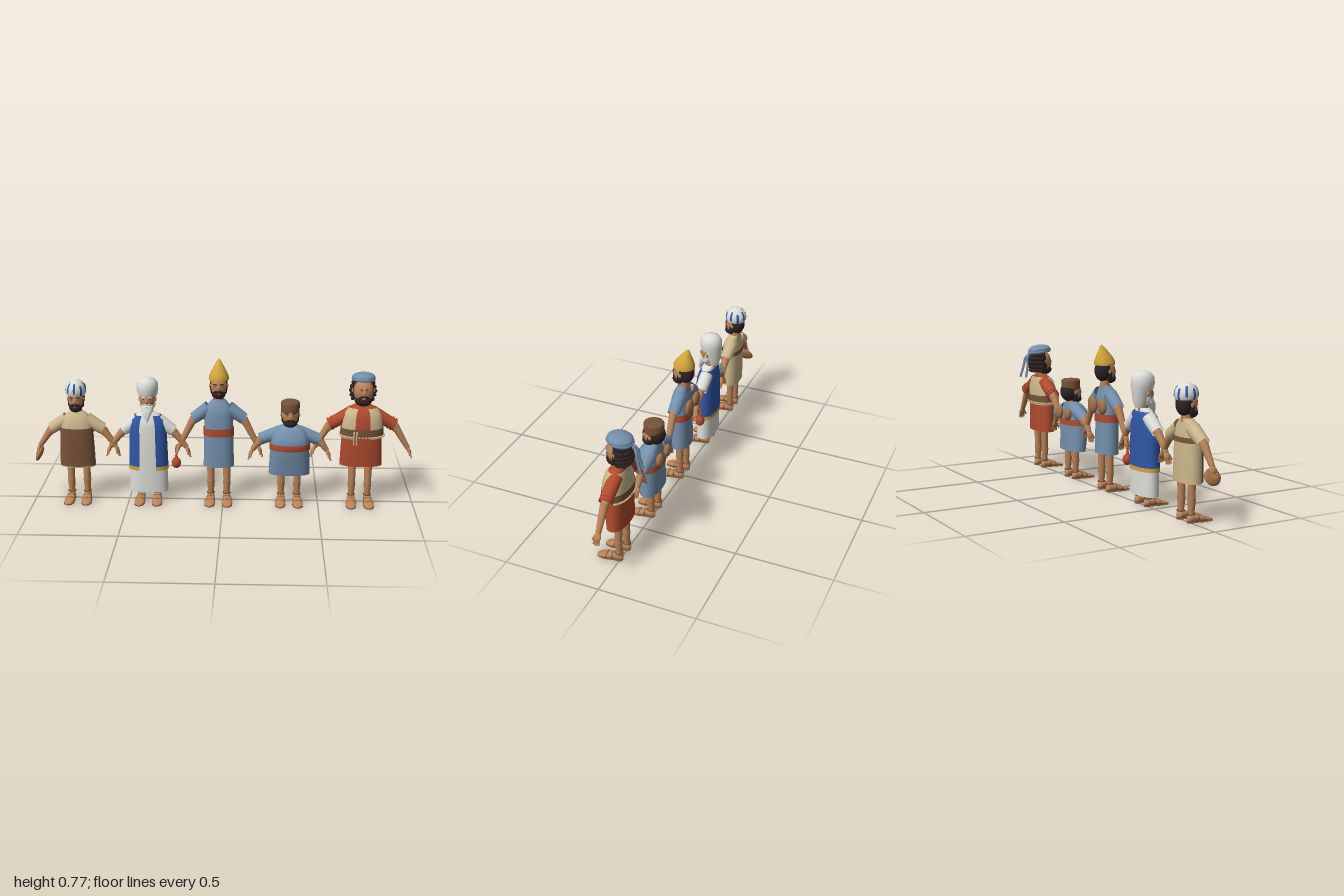
import * as THREE from 'three';
import { mergeVertices } from 'three/addons/utils/BufferGeometryUtils.js';

const PI = Math.PI;
const mat = (name, color) => new THREE.MeshStandardMaterial({ name, color, side: THREE.DoubleSide });
const M = {
  skin: mat('skin', 0xb98358), cream: mat('cream cloth', 0xcbb78c), brown: mat('brown leather', 0x775338),
  white: mat('white cloth', 0xdcdcd8), royal: mat('royal blue', 0x2f57a6), steel: mat('steel blue', 0x7390ac),
  red: mat('brick red', 0xb04b2f), gold: mat('gold', 0xd1a43d), hair: mat('dark hair', 0x2d2323),
  wood: mat('tan wood', 0xa0704a),
};

const V = (x, y, z = 0) => new THREE.Vector3(x, y, z);

function add(parent, name, geo, material, pos, scale) {
  const m = new THREE.Mesh(geo, material);
  m.name = name;
  if (pos) m.position.copy(pos);
  if (scale) m.scale.set(...scale);
  parent.add(m);
  return m;
}
// Ellipsoid, with fewer sides when it is tiny
function ball(parent, name, material, pos, scale) {
  const n = Math.max(...scale) < 0.014 ? 10 : 22;
  return add(parent, name, new THREE.SphereGeometry(1, n, n * 0.7), material, pos, scale);
}

// Surface through oval sections [y, rx, rz, cz], listed from bottom to top
const bend = (v, power = 0.88) => Math.sign(v) * Math.abs(v) ** power;
function loft(sections, a0 = 0, a1 = 2 * PI, power = 0.88, n = 32) {
  const pos = [], idx = [];
  for (const [y, rx, rz, cz = 0] of sections)
    for (let j = 0; j <= n; j++) {
      const a = a0 + (a1 - a0) * j / n;
      pos.push(rx * bend(Math.sin(a), power), y, cz + rz * bend(Math.cos(a), power));
    }
  for (let i = 0; i < sections.length - 1; i++)
    for (let j = 0; j < n; j++) {
      const a = i * (n + 1) + j, b = a + n + 1;
      idx.push(a, a + 1, b + 1, a, b + 1, b);
    }
  let g = new THREE.BufferGeometry();
  g.setAttribute('position', new THREE.Float32BufferAttribute(pos, 3));
  g.setIndex(idx);
  g = mergeVertices(g, 1e-5);
  g.computeVertexNormals();
  return g;
}

// Section at a height, and a thin layer worn over a band of a loft
function at(sections, y) {
  let i = 0;
  while (i < sections.length - 2 && sections[i + 1][0] < y) i++;
  const t = (y - sections[i][0]) / (sections[i + 1][0] - sections[i][0]);
  return sections[i].map((v, k) => v + (sections[i + 1][k] - v) * t);
}
function layer(sections, y0, y1, off, a0, a1) {
  const inner = sections.filter(s => s[0] > y0 + 0.001 && s[0] < y1 - 0.001);
  return loft([at(sections, y0), ...inner, at(sections, y1)]
    .map(([y, rx, rz, cz]) => [y, rx + off, rz + off, cz]), a0, a1);
}

function limb(parent, name, a, b, ra, rb, material, open = false) {
  const d = b.clone().sub(a);
  const m = add(parent, name, new THREE.CylinderGeometry(rb, ra, d.length(), 16, 1, open), material, a.clone().add(b).multiplyScalar(0.5));
  m.quaternion.setFromUnitVectors(V(0, 1, 0), d.normalize());
  return m;
}
const tube = (p, name, pts, r, material) =>
  add(p, name, new THREE.TubeGeometry(new THREE.CatmullRomCurve3(pts), 14, r, 8), material);
const ring = (r, t, n = 16) => new THREE.TorusGeometry(r, t, 6, n).rotateX(PI / 2);

function foot(parent, s) {
  const g = new THREE.Group();
  g.name = 'foot';
  g.position.x = s * 0.042;
  g.rotation.y = s * 0.05;
  const shape = [[-0.016, 0.004, 0.004, 0.012], [-0.01, 0.017, 0.016, 0.019], [0.005, 0.02, 0.021, 0.024],
    [0.03, 0.021, 0.017, 0.021], [0.07, 0.027, 0.011, 0.015], [0.1, 0.025, 0.007, 0.011], [0.115, 0.015, 0.004, 0.008], [0.119, 0.002, 0.001, 0.006]];
  add(g, 'footTop', loft(shape.map(([z, rx, ry, cy]) => [z, rx, ry, -cy]), 0, 2 * PI, 0.88, 20).rotateX(PI / 2), M.skin);
  add(g, 'sole', loft(shape.map(([z, rx]) => [z, rx + 0.001, 0.003, -0.003]), 0, 2 * PI, 0.88, 20).rotateX(PI / 2), M.brown);
  for (const z of [0.035, 0.065]) {
    const [, rx, ry, cy] = at(shape, z);
    add(g, 'sandalStrap', new THREE.TorusGeometry(1, 0.1, 6, 16), M.brown, V(0, cy, z), [rx, ry, 0.035]);
  }
  add(g, 'ankleStrap', ring(0.019, 0.003), M.brown, V(0, 0.042, 0.004));
  parent.add(g);
}

function arm(parent, s, f) {
  const sh = V(s * 0.05, f.top - 0.045, 0.003), cuff = V(s * f.cuff[0], f.cuff[1], 0.003), wrist = V(s * f.wrist[0], f.wrist[1], 0.005);
  limb(parent, 'sleeve', sh, cuff, 0.036, 0.031, f.cloth === M.red ? M.red : f.cloth, true);
  const d = wrist.clone().sub(cuff).normalize();
  limb(parent, 'arm', sh.clone().lerp(cuff, 0.6), cuff.clone().addScaledVector(d, 0.03), 0.022, 0.02, M.skin);
  limb(parent, 'forearm', cuff, wrist, 0.021, 0.013, M.skin);
  // Hand hangs from the wrist along -y
  const hand = new THREE.Group();
  hand.name = 'hand';
  hand.position.copy(wrist);
  hand.quaternion.setFromUnitVectors(V(0, -1, 0), V(s * 0.42, -0.9, 0.05).normalize());
  ball(hand, 'palm', M.skin, V(0, -0.016, 0), [0.01, 0.022, 0.018]);
  for (let i = 0; i < 4; i++)
    limb(hand, 'finger', V(0, -0.028, -0.012 + i * 0.008), V(-s * 0.003, -0.054 - (i % 3 ? 0.004 : 0), -0.013 + i * 0.009), 0.005, 0.0035, M.skin);
  limb(hand, 'thumb', V(0, -0.01, 0.012), V(-s * 0.006, -0.036, 0.025), 0.006, 0.004, M.skin);
  parent.add(hand);
}

function head(g, f) {
  const [y, rx, ry] = f.head, rz = rx * 1.12, hc = f.hair;
  limb(g, 'neck', V(0, f.top - 0.03), V(0, y), 0.026, 0.023, M.skin);
  ball(g, 'face', M.skin, V(0, y, 0.008), [rx, ry, rz]);
  ball(g, 'hairBack', hc, V(0, y + 0.004, -0.01), [rx * 1.09, ry * 1.05, rz * 0.98]);
  ball(g, 'nose', M.skin, V(0, y - 0.004, rz + 0.007), [0.008, 0.013, 0.011]);
  for (const s of [-1, 1]) {
    ball(g, 'eye', M.hair, V(s * 0.016, y + 0.008, rz * 0.9 + 0.007), [0.005, 0.003, 0.003]);
    tube(g, 'eyebrow', [V(s * 0.007, y + 0.016, rz * 0.94 + 0.008), V(s * 0.016, y + 0.019, rz * 0.87 + 0.008), V(s * 0.027, y + 0.015, rz * 0.73 + 0.008)], 0.0028, hc);
    tube(g, 'moustache', [V(0, y - 0.017, rz + 0.007), V(s * 0.012, y - 0.02, rz + 0.004), V(s * 0.024, y - 0.03, rz * 0.82)], 0.005, hc);
    ball(g, 'sideburn', hc, V(s * rx * 0.86, y - 0.016, 0.008), [0.008, ry * 0.5, 0.014]);
    ball(g, 'ear', M.skin, V(s * rx * 1.04, y, 0.004), [0.006, 0.012, 0.009]);
  }
  ball(g, 'beard', hc, V(0, y - ry * 0.72, 0.024), [rx * 0.85, ry * 0.46, rz * 0.78]);
  ball(g, 'mouth', M.skin, V(0, y - 0.031, rz * 0.82 + 0.016), [0.009, 0.003, 0.004]);
}

function person(root, f) {
  const g = new THREE.Group();
  g.name = f.name;
  g.position.x = f.x;
  root.add(g);
  add(g, 'tunic', loft(f.body), f.cloth);
  const hem = f.body[0];
  for (const s of [-1, 1]) {
    limb(g, 'leg', V(s * 0.042, 0.1, 0.006), V(s * 0.042, hem[0] + 0.07, 0.004), 0.018, 0.022, M.skin);
    limb(g, 'shin', V(s * 0.042, 0.035, 0.004), V(s * 0.042, 0.112, 0.006), 0.014, 0.021, M.skin);
    foot(g, s);
    arm(g, s, f);
  }
  head(g, f);
  return g;
}

// Tunic profile from hem, top, half width, belly depth and belly centre
const body = (hem, top, w, d, cz) => [
  [hem, w, 0.05, 0.01], [hem + (top - hem) * 0.3, w * 0.97, (0.05 + d) / 2, (0.01 + cz) / 2], [hem + (top - hem) * 0.6, w * 0.93, d, cz],
  [top - 0.075, w * 0.9, d * 0.95, cz], [top - 0.04, w * 0.8, d * 0.8, cz * 0.8], [top - 0.015, w * 0.6, d * 0.6, cz * 0.5], [top, 0.03, 0.026, 0.002]];

export function createModel() {
  const root = new THREE.Group();
  root.name = 'fiveFigures';

  // Baker: cream tunic, apron, striped turban, flat loaf
  let b = body(0.19, 0.49, 0.092, 0.05, 0.012);
  let g = person(root, { name: 'baker', x: -0.766, top: 0.49, body: b, cloth: M.cream, hair: M.hair, cuff: [0.135, 0.39], wrist: [0.2, 0.295], head: [0.552, 0.04, 0.055] });
  add(g, 'apron', layer(b, 0.197, 0.4, 0.004, -1.3, 1.3), M.brown);
  add(g, 'belt', layer(b, 0.38, 0.405, 0.005), M.brown);
  const turban = new THREE.Group();
  turban.name = 'turban';
  turban.position.set(0, 0.6, -0.002);
  g.add(turban);
  add(turban, 'wrap', new THREE.SphereGeometry(1, 32, 20, 0, 2 * PI, 0, 2), M.white, null, [0.053, 0.056, 0.058]);
  for (let i = 0; i < 9; i++)
    add(turban, 'stripe', new THREE.SphereGeometry(1, 4, 16, PI / 2 - 0.11 + i * 2 * PI / 9, 0.22, 0.75 + (i % 2) * 0.25, 0.95), M.royal, null, [0.0545, 0.0575, 0.0595]);
  const loaf = ball(g, 'loaf', M.wood, V(-0.205, 0.248, 0.004), [0.014, 0.042, 0.044]);
  loaf.rotation.z = -0.45;

  // Elder: white robe, open blue coat with gold trim, long beard
  b = body(0.055, 0.49, 0.102, 0.05, 0.012);
  g = person(root, { name: 'elder', x: -0.393, top: 0.49, body: b, cloth: M.white, hair: M.white, cuff: [0.13, 0.385], wrist: [0.2, 0.295], head: [0.557, 0.04, 0.056] });
  add(g, 'coat', layer(b, 0.2, 0.473, 0.005, 0.38, 2 * PI - 0.38), M.royal);
  add(g, 'coatTrim', layer(b, 0.18, 0.2, 0.006, 0.38, 2 * PI - 0.38), M.gold);
  add(g, 'longBeard', loft([[0.445, 0.003, 0.003, 0.06], [0.475, 0.016, 0.012, 0.055], [0.51, 0.032, 0.025, 0.038], [0.535, 0.034, 0.022, 0.026]]), M.white);
  add(g, 'headWrap', loft([[0.58, 0.05, 0.054, -0.004], [0.61, 0.056, 0.06, -0.002], [0.64, 0.055, 0.057, -0.002], [0.66, 0.042, 0.044, -0.002], [0.67, 0.02, 0.02, -0.002], [0.672, 0.001, 0.001, -0.002]], 0, 2 * PI, 1), M.white);
  add(g, 'headWrapBack', loft([[0.49, 0.024, 0.03, -0.012], [0.53, 0.038, 0.044, -0.012], [0.6, 0.053, 0.055, -0.008]], 1.5, 2 * PI - 1.5, 1), M.white);
  ball(g, 'gourd', M.red, V(0.145, 0.205, 0), [0.025, 0.029, 0.025]);
  limb(g, 'gourdNeck', V(0.145, 0.225, 0), V(0.145, 0.25, 0), 0.011, 0.005, M.red);
  tube(g, 'gourdCord', [V(0.145, 0.245, 0), V(0.142, 0.275, 0.002), V(0.15, 0.305, 0), V(0.19, 0.3, 0)], 0.003, M.red);

  // Two belted travellers, each with round flasks on the back
  const flasks = (parent, y, r) => {
    ball(parent, 'flask', M.wood, V(0.042, y, -0.05), [r * 0.9, r, 0.018]);
    ball(parent, 'flask', M.wood, V(-0.052, y, -0.048), [r * 0.8, r * 0.9, 0.018]);
  };
  b = body(0.2, 0.56, 0.08, 0.05, 0.012);
  g = person(root, { name: 'tallTraveller', x: -0.023, top: 0.56, body: b, cloth: M.steel, hair: M.hair, cuff: [0.13, 0.455], wrist: [0.208, 0.3], head: [0.632, 0.042, 0.055] });
  add(g, 'belt', layer(b, 0.37, 0.412, 0.005), M.red);
  add(g, 'pointedHat', loft([[0.665, 0.052, 0.056, -0.002], [0.682, 0.051, 0.056, -0.002], [0.705, 0.041, 0.046, -0.005], [0.735, 0.024, 0.028, -0.012], [0.762, 0.009, 0.01, -0.02], [0.771, 0.001, 0.001, -0.022]], 0, 2 * PI, 1), M.gold);
  flasks(g, 0.455, 0.045);

  b = body(0.16, 0.43, 0.108, 0.066, 0.025);
  g = person(root, { name: 'stoutTraveller', x: 0.348, top: 0.43, body: b, cloth: M.steel, hair: M.hair, cuff: [0.155, 0.345], wrist: [0.195, 0.285], head: [0.48, 0.044, 0.052] });
  add(g, 'belt', layer(b, 0.303, 0.336, 0.005), M.red);
  add(g, 'roundCap', loft([[0.497, 0.047, 0.052], [0.54, 0.05, 0.053], [0.549, 0.047, 0.05], [0.553, 0.04, 0.042], [0.553, 0.001, 0.001]], 0, 2 * PI, 1), M.brown);
  flasks(g, 0.365, 0.036);

  // Warrior: red tunic, cream vest, rope belt, blue cap with trailing ribbons
  b = body(0.215, 0.545, 0.11, 0.058, 0.016);
  g = person(root, { name: 'warrior', x: 0.72, top: 0.545, body: b, cloth: M.red, hair: M.hair, cuff: [0.168, 0.43], wrist: [0.243, 0.305], head: [0.615, 0.052, 0.066] });
  add(g, 'vest', layer(b, 0.37, 0.528, 0.005, 0.32, 2 * PI - 0.32), M.cream);
  add(g, 'belt', layer(b, 0.385, 0.424, 0.009), M.brown);
  const waist = at(b, 0.405);
  for (let i = 0; i < 56; i++) {
    const a = i / 56 * 2 * PI;
    ball(g, 'ropeBead', M.cream, V((waist[1] + 0.011) * bend(Math.sin(a)), 0.382, waist[3] + (waist[2] + 0.011) * bend(Math.cos(a))), [0.006, 0.005, 0.006]);
  }
  for (const x of [-0.045, -0.03])
    tube(g, 'ropeEnd', [V(x, 0.412, 0.08), V(x, 0.408, 0.093), V(x - 0.003, 0.38, 0.094), V(x, 0.346, 0.093)], 0.004, M.cream);
  for (const s of [-1, 1])
    for (const t of [0.82, 0.96]) {
      const band = add(g, 'sleeveBand', ring(0.033, 0.003, 24), M.red, V(s * 0.05, 0.5).lerp(V(s * 0.168, 0.43), t));
      band.quaternion.setFromUnitVectors(V(0, 1, 0), V(s * 0.118, -0.07).normalize());
    }
  // Curly hair around the sides and back
  ball(g, 'hairMass', M.hair, V(0, 0.61, -0.014), [0.064, 0.058, 0.05]);
  for (let row = 0; row < 5; row++)
    for (let i = 0; i < 13; i++) {
      const a = 1.45 + (i + (row % 2) / 2) / 13 * (2 * PI - 2.9), r = 1 - 0.06 * Math.abs(row - 2) ** 1.6;
      ball(g, 'curl', M.hair, V(0.063 * r * Math.sin(a), 0.565 + row * 0.022, -0.012 + 0.05 * r * Math.cos(a)), [0.01, 0.01, 0.01]);
    }
  const cap = ball(g, 'cap', M.steel, V(0, 0.685, -0.002), [0.06, 0.025, 0.064]);
  cap.rotation.x = -0.1;
  const band = add(g, 'capBand', ring(1, 0.12, 36), M.steel, V(0, 0.674, -0.002), [0.055, 0.07, 0.061]);
  band.rotation.x = -0.12;
  ball(g, 'ribbonKnot', M.steel, V(0, 0.655, -0.072), [0.013, 0.012, 0.01]);
  for (const s of [-1, 1])
    tube(g, 'ribbon', [V(0, 0.658, -0.07), V(s * 0.012, 0.64, -0.085), V(s * 0.018, 0.59, -0.092 - s * 0.004), V(s * 0.024, 0.53, -0.108 - s * 0.006)], 0.007, M.steel);
  return root;
}
